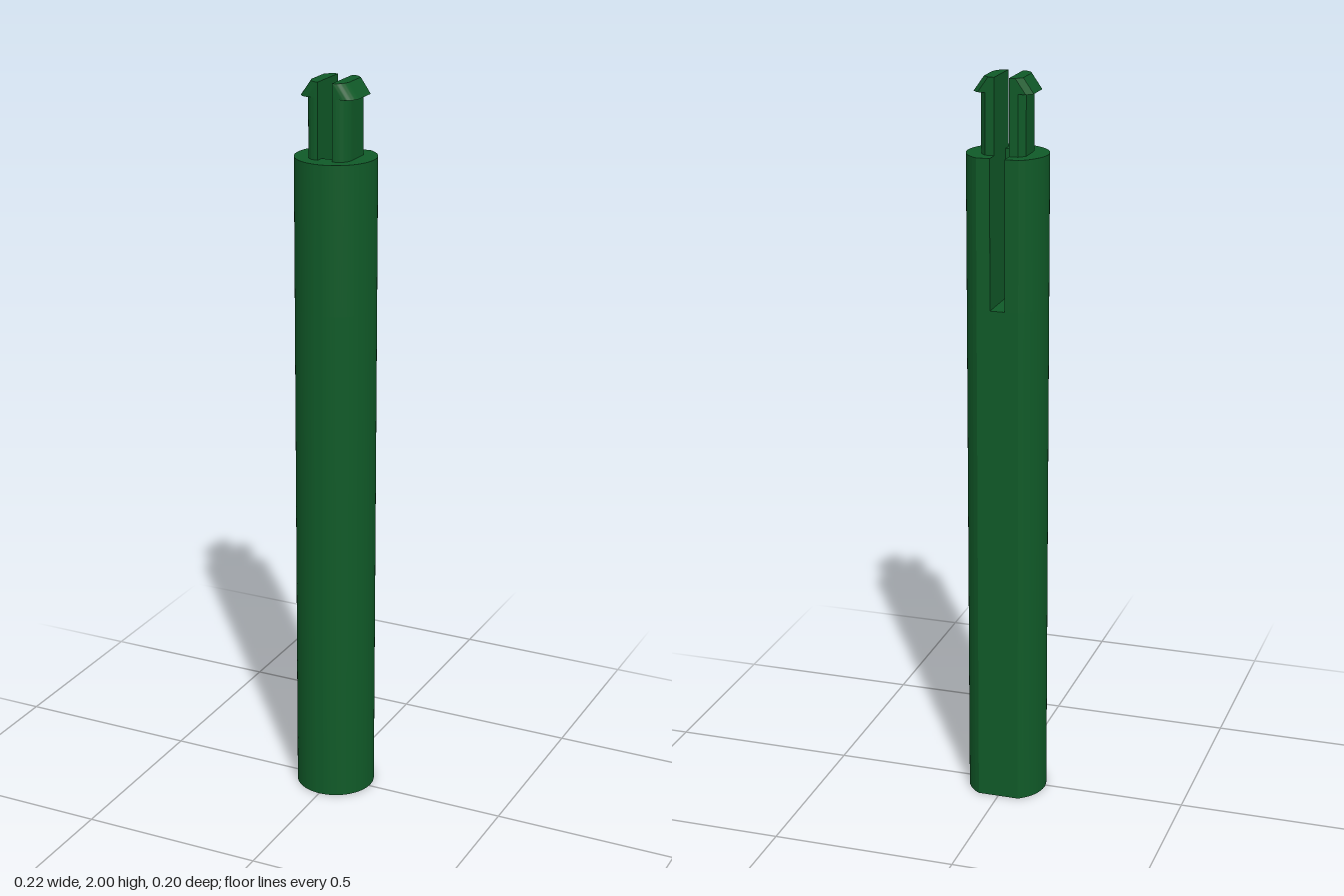
import * as THREE from 'three';
import { toCreasedNormals } from 'three/addons/utils/BufferGeometryUtils.js';

const SLOT = 0.02;   // half width of the slot between the prongs
const SLOT_Y = 1.4;  // floor of the slot
const ROD_Y = 1.8;   // shoulder of the rod

// Round rod outline with a flat back, optionally notched by the slot
function rodShape(slotted) {
  const r = 0.108, cy = 0.008, flat = 0.1;
  const a = Math.asin((flat - cy) / r);
  const s = new THREE.Shape();
  s.moveTo(r * Math.cos(a), flat);
  s.absarc(0, cy, r, a, Math.PI - a, true);
  if (slotted) {
    s.lineTo(-SLOT, flat);
    s.lineTo(-SLOT, -0.035);
    s.lineTo(SLOT, -0.035);
    s.lineTo(SLOT, flat);
  }
  s.closePath();
  return s;
}

function rodGeometry(slotted, y0, y1) {
  const g = new THREE.ExtrudeGeometry(rodShape(slotted), {
    depth: y1 - y0, bevelEnabled: false, curveSegments: 56,
  });
  g.rotateX(-Math.PI / 2).translate(0, y0, 0);
  return toCreasedNormals(g, 0.5);
}

// Prong cross-section: chamfered back corner, rounded front corner
function prongRing(outer, y, side) {
  const pts = [[SLOT, -0.062], [outer - 0.016, -0.062], [outer, -0.045]];
  for (let i = 0; i <= 10; i++) {
    const t = (i / 10) * Math.PI / 2;
    pts.push([outer - 0.032 * (1 - Math.cos(t)), 0.02 + 0.038 * Math.sin(t)]);
  }
  pts.push([SLOT, 0.058]);
  return pts.map(([x, z]) => [x * side, y, z]);
}

// Stem, flat barb underside and sloping tip, lofted through four rings
function prongGeometry(side) {
  const rings = [[0.06, ROD_Y], [0.06, 1.96], [0.08, 1.96], [0.052, 2]]
    .map(([outer, y]) => prongRing(outer, y, side));
  const pos = [];
  const tri = (a, b, c) => pos.push(...a, ...(side > 0 ? b : c), ...(side > 0 ? c : b));
  const n = rings[0].length;
  for (let k = 0; k < rings.length - 1; k++) {
    const lo = rings[k], hi = rings[k + 1];
    for (let i = 0; i < n; i++) {
      const j = (i + 1) % n;
      tri(lo[i], hi[i], hi[j]);
      tri(lo[i], hi[j], lo[j]);
    }
  }
  const top = rings[rings.length - 1];
  for (let i = 1; i < n - 1; i++) tri(top[0], top[i + 1], top[i]);
  const g = new THREE.BufferGeometry();
  g.setAttribute('position', new THREE.Float32BufferAttribute(pos, 3));
  return toCreasedNormals(g, 0.5);
}

export function createModel() {
  const green = new THREE.MeshStandardMaterial({ color: 0x105a28 });
  green.name = 'dark green';
  const model = new THREE.Group();
  model.name = 'clipRod';
  const add = (name, geometry) => {
    const mesh = new THREE.Mesh(geometry, green);
    mesh.name = name;
    model.add(mesh);
  };
  add('rod', rodGeometry(false, 0, SLOT_Y));
  add('slottedRodEnd', rodGeometry(true, SLOT_Y, ROD_Y));
  add('leftProng', prongGeometry(1));
  add('rightProng', prongGeometry(-1));
  return model;
}
